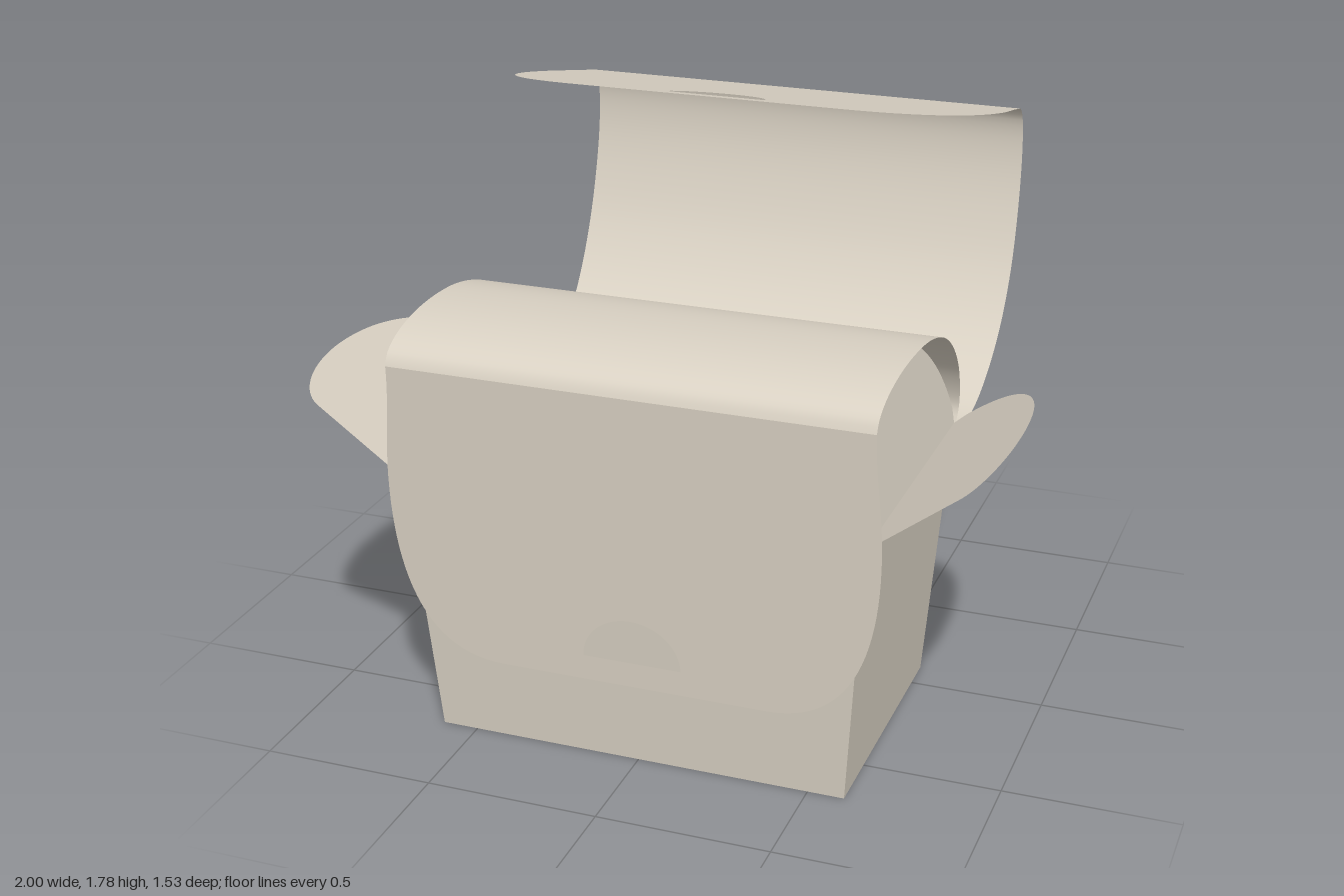
import * as THREE from 'three';

const HINGE_Y = 0.79, HINGE_Z = -0.16;   // back edge of the box mouth
const card = new THREE.MeshStandardMaterial({ color: 0xd9d1c3, side: THREE.DoubleSide });
card.name = 'beige card';

function part(name, geometry) {
  const mesh = new THREE.Mesh(geometry, card);
  mesh.name = name;
  return mesh;
}

// Tapered box without a top
function boxBody() {
  const box = new THREE.BoxGeometry(2, 1, 2);
  const p = box.attributes.position;
  for (let i = 0; i < p.count; i++) {
    const top = p.getY(i) > 0;
    const back = p.getZ(i) < 0;
    const z = top ? (back ? HINGE_Z : 0.743) : (back ? -0.10 : 0.685);
    p.setXYZ(i, p.getX(i) * (top ? 0.665 : 0.605), top ? HINGE_Y : 0, z);
  }
  const index = Array.from(box.index.array);
  index.splice(12, 6);
  box.setIndex(index);
  box.clearGroups();
  box.computeVertexNormals();
  return part('boxBody', box);
}

// Curved top of the lid, swept across x, relative to the hinge
const lidProfile = new THREE.CatmullRomCurve3([
  [-0.16, 0.79], [-0.177, 0.84], [-0.135, 0.955], [-0.04, 1.06], [0.1, 1.15], [0.27, 1.205],
  [0.45, 1.222], [0.6, 1.212], [0.7, 1.185], [0.746, 1.155], [0.76, 1.125],
].map(([z, y]) => new THREE.Vector3(0, y - HINGE_Y, z - HINGE_Z)));

function lidArch() {
  const rows = 60;
  const g = new THREE.PlaneGeometry(2, 1, 1, rows);
  const p = g.attributes.position;
  for (let i = 0; i < p.count; i++) {
    const t = 0.5 + p.getY(i);
    const q = lidProfile.getPointAt(1 - t);
    const halfWidth = 0.67 + 0.022 * Math.sin(Math.min(1, (1 - t) * 1.6) * Math.PI / 2)
      + 0.006 * Math.sin(t * Math.PI);
    p.setXYZ(i, p.getX(i) * halfWidth, q.y, q.z);
  }
  // rows run from front to back, so flip to face outwards
  const idx = g.index.array;
  for (let i = 0; i < idx.length; i += 3) [idx[i], idx[i + 1]] = [idx[i + 1], idx[i]];
  g.computeVertexNormals();
  return part('lidArch', g);
}

// Flat tongue of the lid with a half-round cut-out
function lidTongue() {
  const s = new THREE.Shape();
  s.moveTo(-0.692, 0);
  s.bezierCurveTo(-0.69, -0.12, -0.71, -0.22, -0.71, -0.34);
  s.bezierCurveTo(-0.71, -0.66, -0.62, -0.875, -0.39, -0.875);
  s.lineTo(0.39, -0.875);
  s.bezierCurveTo(0.62, -0.875, 0.71, -0.66, 0.71, -0.34);
  s.bezierCurveTo(0.71, -0.22, 0.69, -0.12, 0.692, 0);
  s.closePath();
  const hole = new THREE.Path();
  hole.absellipse(0, -0.8, 0.144, 0.132, 0, Math.PI, false);
  hole.closePath();
  s.holes.push(hole);
  const tongue = part('lidTongue', new THREE.ShapeGeometry(s, 24));
  tongue.position.copy(lidProfile.getPointAt(1));
  tongue.rotation.x = THREE.MathUtils.degToRad(2.5);
  return tongue;
}

function lid(name, angle) {
  const group = new THREE.Group();
  group.name = name;
  group.add(lidArch(), lidTongue());
  group.position.set(0, HINGE_Y, HINGE_Z);
  group.rotation.x = -THREE.MathUtils.degToRad(angle);
  return group;
}

// Dome-shaped end flap; the shape's x runs along z
const flapShape = new THREE.Shape();
flapShape.moveTo(-0.158, 0);
flapShape.lineTo(0.742, 0);
flapShape.lineTo(0.755, 0.31);
flapShape.bezierCurveTo(0.757, 0.375, 0.62, 0.42, 0.455, 0.42);
flapShape.bezierCurveTo(0.1, 0.42, -0.165, 0.25, -0.173, 0.04);
flapShape.closePath();

function endFlap(name, side, angle) {
  const mesh = part(name, new THREE.ShapeGeometry(flapShape, 30));
  mesh.rotation.y = -Math.PI / 2;
  const hinge = new THREE.Group();
  hinge.name = name + 'Hinge';
  hinge.position.set(side * 0.665, HINGE_Y, 0);
  hinge.rotation.z = side * THREE.MathUtils.degToRad(angle);
  hinge.add(mesh);
  return hinge;
}

export function createModel() {
  const model = new THREE.Group();
  model.name = 'foldingBox';
  model.add(boxBody(), lid('closedLid', 0), lid('openLid', 105));
  for (const [label, side] of [['left', 1], ['right', -1]]) {
    model.add(endFlap(label + 'ClosedFlap', side, 15.2));
    model.add(endFlap(label + 'OpenFlap', side, -52.5));
  }
  return model;
}
